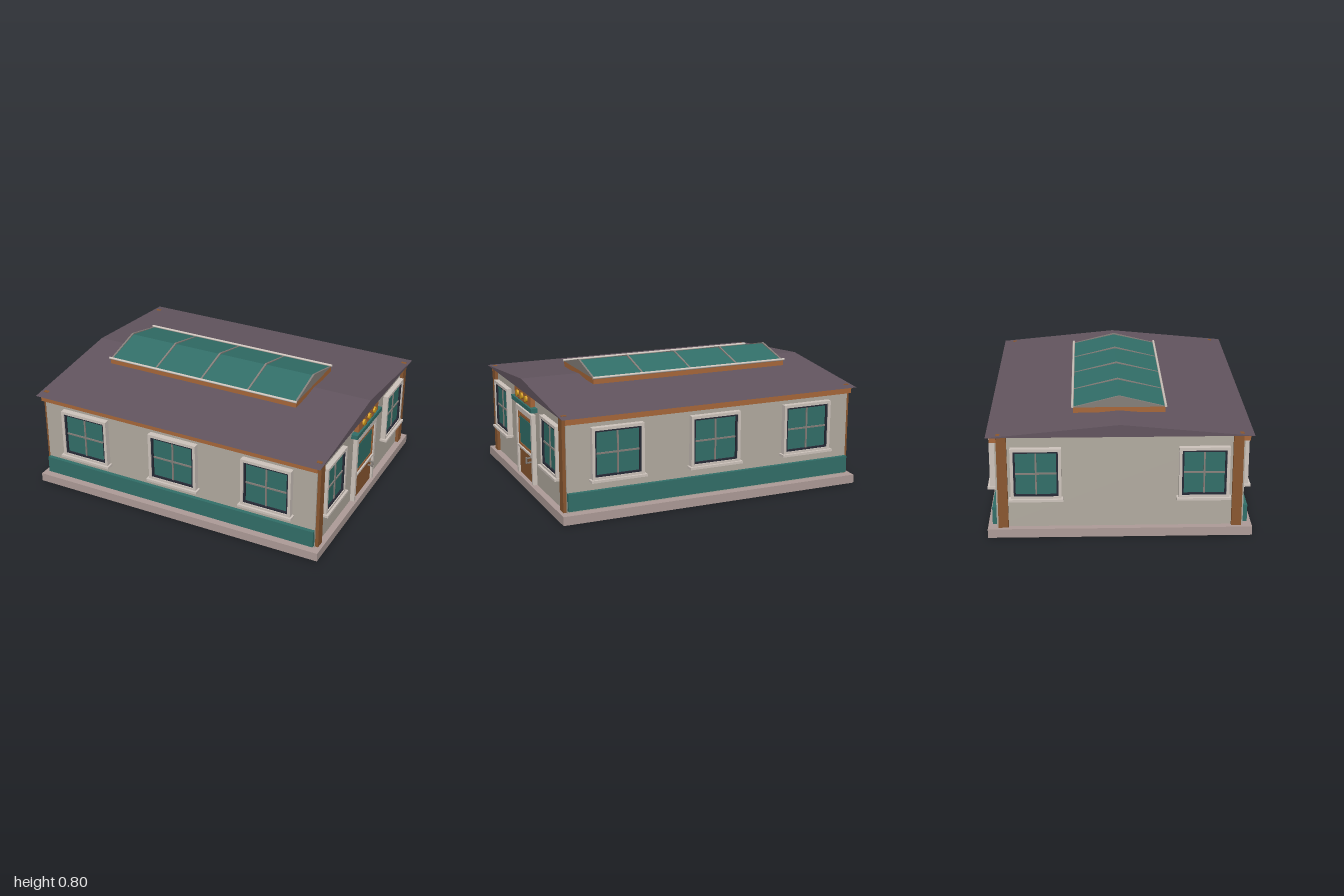
import * as THREE from 'three';

const paint = (color) => new THREE.MeshStandardMaterial({ color });
const wall = paint(0xb3aca1), stone = paint(0xae9c98), teal = paint(0x326f69), roofing = paint(0x63555f),
  wood = paint(0x8a5730), lightWood = paint(0xa8683a), white = paint(0xcfc5bd), dark = paint(0x262a36),
  bar = paint(0x857f7a), gold = paint(0xd8a01e);

// The building sits slightly left of the origin
const CX = -0.007, WALL_X = 0.948, WALL_Z = 0.737;

function add(parent, name, geometry, material, x = 0, y = 0, z = 0) {
  const mesh = new THREE.Mesh(geometry, material);
  mesh.name = name;
  mesh.position.set(x, y, z);
  parent.add(mesh);
  return mesh;
}

// Box given by its limits on each axis
function box(parent, name, material, [x0, x1], [y0, y1], [z0, z1]) {
  return add(parent, name, new THREE.BoxGeometry(x1 - x0, y1 - y0, z1 - z0), material,
    (x0 + x1) / 2, (y0 + y1) / 2, (z0 + z1) / 2);
}

// Rectangular ring facing +z, centred on the origin
function ring(w, h, t, depth) {
  const rect = (P, a, b) => {
    const p = new P();
    p.moveTo(-a, -b);
    p.lineTo(a, -b);
    p.lineTo(a, b);
    p.lineTo(-a, b);
    p.closePath();
    return p;
  };
  const shape = rect(THREE.Shape, w / 2, h / 2);
  shape.holes.push(rect(THREE.Path, w / 2 - t, h / 2 - t));
  return new THREE.ExtrudeGeometry(shape, { depth, bevelEnabled: false });
}

// Triangular prism with its ridge along x
function gable(halfZ, rise, length) {
  const s = new THREE.Shape();
  s.moveTo(-halfZ, 0);
  s.lineTo(halfZ, 0);
  s.lineTo(0, rise);
  s.closePath();
  const g = new THREE.ExtrudeGeometry(s, { depth: length, bevelEnabled: false });
  return g.translate(0, 0, -length / 2).rotateY(Math.PI / 2);
}

// Cross-barred window on a wall whose surface is local z = 0
function makeWindow(w) {
  const g = new THREE.Group();
  g.name = 'window';
  const h = 0.32;
  add(g, 'windowFrame', ring(w, h, 0.018, 0.037), white);
  add(g, 'windowSash', ring(w - 0.034, h - 0.034, 0.012, 0.03), dark);
  const pw = w - 0.054, ph = h - 0.054;
  box(g, 'windowPane', teal, [-pw / 2, pw / 2], [-ph / 2, ph / 2], [0, 0.018]);
  box(g, 'windowUpright', bar, [-0.005, 0.005], [-ph / 2, ph / 2], [0.016, 0.025]);
  box(g, 'windowCrossbar', bar, [-pw / 2, pw / 2], [-0.005, 0.005], [0.016, 0.025]);
  box(g, 'windowSill', white, [-w / 2 - 0.012, w / 2 + 0.012], [-0.17, -0.155], [0, 0.052]);
  return g;
}

// Entrance with glazed door, awning and lamp board, built facing +z
function makeEntrance() {
  const g = new THREE.Group();
  g.name = 'entrance';
  for (const s of [-1, 1]) {
    box(g, 'doorJamb', white, s > 0 ? [0.142, 0.167] : [-0.167, -0.142], [0.055, 0.51], [0, 0.028]);
  }
  box(g, 'doorLintel', white, [-0.142, 0.142], [0.478, 0.51], [0, 0.028]);
  box(g, 'doorLeaf', wood, [-0.142, 0.142], [0.055, 0.478], [0, 0.014]);
  add(g, 'doorGlassFrame', ring(0.284, 0.235, 0.023, 0.02), lightWood, 0, 0.36, 0);
  box(g, 'doorGlass', teal, [-0.119, 0.119], [0.247, 0.44], [0.01, 0.017]);
  box(g, 'doorRail', white, [-0.142, 0.142], [0.236, 0.249], [0, 0.03]);
  add(g, 'doorHandle', new THREE.CapsuleGeometry(0.006, 0.035, 4, 8), bar, 0.092, 0.2, 0.045);
  for (const y of [0.185, 0.215]) box(g, 'handleMount', bar, [0.088, 0.096], [y - 0.004, y + 0.004], [0.012, 0.045]);
  box(g, 'awning', teal, [-0.21, 0.21], [0.535, 0.563], [0, 0.042]);
  box(g, 'lampBoard', lightWood, [-0.167, 0.167], [0.563, 0.635], [0, 0.03]);
  for (const x of [-0.09, 0, 0.09]) {
    add(g, 'lamp', new THREE.CylinderGeometry(0.02, 0.02, 0.014, 20).rotateX(Math.PI / 2), gold, x, 0.6, 0.035);
  }
  for (const x of [-0.058, 0.058]) {
    for (const y of [0.572, 0.628]) box(g, 'boardClip', wood, [x - 0.014, x + 0.014], [y - 0.005, y + 0.005], [0.02, 0.037]);
  }
  return g;
}

// Long glazed roof light with curb, ribs and rails
function makeSkylight() {
  const g = new THREE.Group();
  g.name = 'skylight';
  const L = 1.34, Z = 0.277, base = 0.732, rise = 0.062;
  box(g, 'skylightCurb', lightWood, [-L / 2, L / 2], [0.698, base], [-Z, Z]);
  add(g, 'skylightGlass', gable(Z, rise, L - 0.01), teal, 0, base, 0);
  for (let i = 0; i < 5; i++) {
    add(g, 'skylightRib', gable(Z + 0.005, rise + 0.008, 0.012), bar, (i / 4 - 0.5) * (L - 0.012), base, 0);
  }
  for (const s of [-1, 1]) {
    add(g, 'skylightRail', new THREE.CylinderGeometry(0.008, 0.008, L + 0.01, 10).rotateZ(Math.PI / 2), white, 0, 0.738, s * 0.28);
  }
  g.position.x = -0.075;
  return g;
}

export function createModel() {
  const model = new THREE.Group();
  model.name = 'building';
  const body = new THREE.Group();
  body.name = 'body';
  body.position.x = CX;
  model.add(body);

  box(body, 'plinth', stone, [-0.99, 0.99], [0, 0.055], [-0.79, 0.79]);
  box(body, 'walls', wall, [-WALL_X, WALL_X], [0.055, 0.636], [-WALL_Z, WALL_Z]);
  add(body, 'roof', gable(0.787, 0.075, 1.97), roofing, 0, 0.636, 0);

  // Corner posts, just breaking through the roof
  for (const sx of [-1, 1]) for (const sz of [-1, 1]) {
    add(body, 'cornerPost', new THREE.BoxGeometry(0.034, 0.589, 0.06), wood, sx * 0.951, 0.3495, sz * 0.696);
  }

  // Long sides
  for (const angle of [0, Math.PI]) {
    const side = new THREE.Group();
    side.name = angle ? 'backSide' : 'frontSide';
    side.rotation.y = angle;
    body.add(side);
    box(side, 'eaveBeam', lightWood, [-0.96, 0.96], [0.597, 0.637], [WALL_Z - 0.01, 0.766]);
    box(side, 'lowerPanel', teal, [-0.947, 0.947], [0.07, 0.178], [WALL_Z - 0.01, 0.762]);
    for (const x of [-0.637, 0, 0.637]) {
      const w = makeWindow(0.33);
      w.position.set(x, 0.407, WALL_Z + 0.008);
      side.add(w);
    }
  }

  // End walls, with the entrance on the model's left
  for (const s of [1, -1]) {
    const end = new THREE.Group();
    end.name = s > 0 ? 'entranceEnd' : 'plainEnd';
    end.rotation.y = s * Math.PI / 2;
    body.add(end);
    box(end, 'gableTrim', white, [-0.667, 0.667], [0.627, 0.637], [WALL_X - 0.01, WALL_X + 0.008]);
    for (const x of [-0.497, 0.497]) {
      const w = makeWindow(0.3);
      w.position.set(x, 0.402, WALL_X - 0.004);
      end.add(w);
    }
    if (s > 0) {
      const door = makeEntrance();
      door.position.z = WALL_X;
      end.add(door);
    }
  }

  model.add(makeSkylight());
  return model;
}
